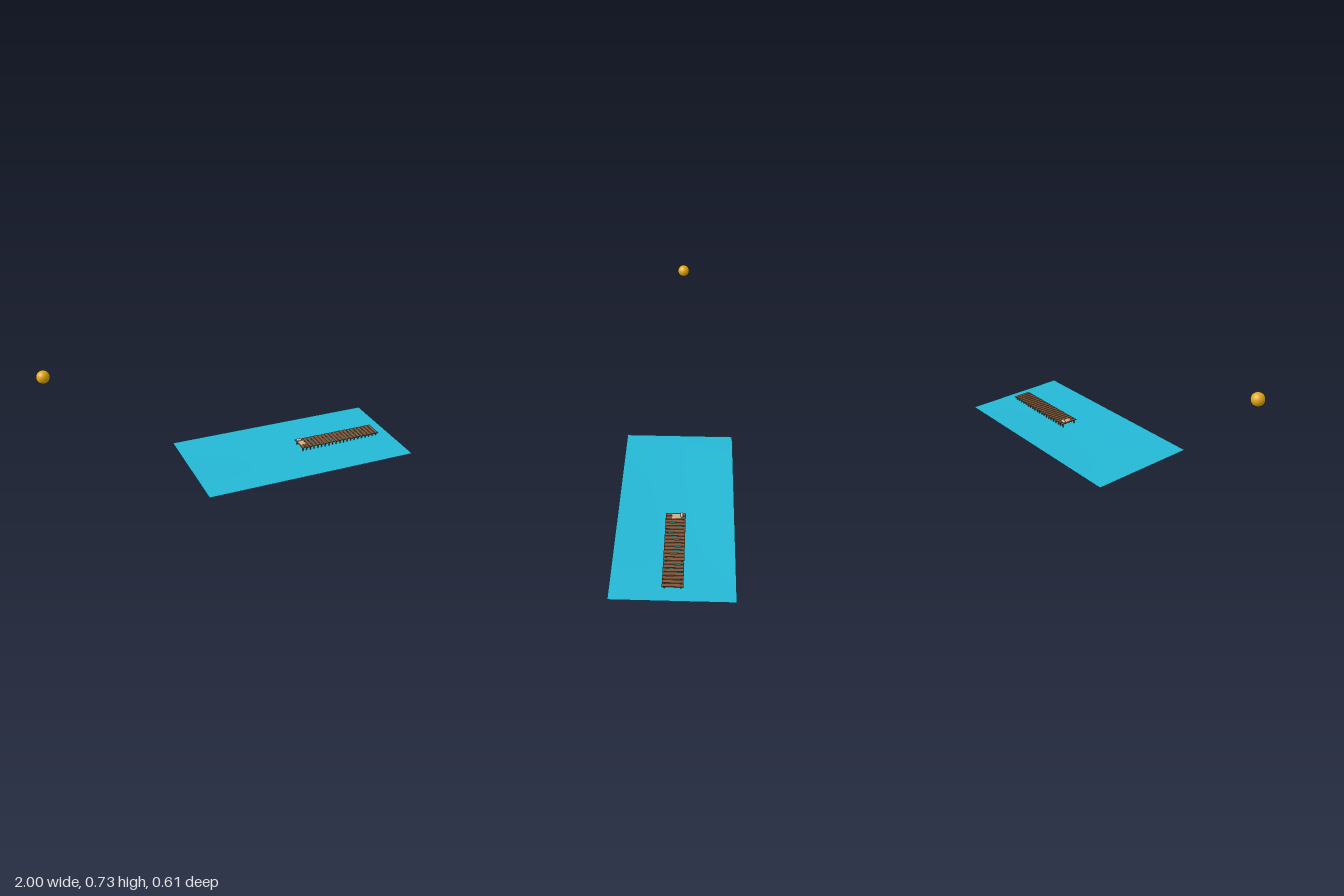
import * as THREE from 'three';

const mat = (color, extra = {}) => new THREE.MeshStandardMaterial({ color, ...extra });

function add(parent, name, geometry, material, x = 0, y = 0, z = 0) {
  const mesh = new THREE.Mesh(geometry, material);
  mesh.name = name;
  mesh.position.set(x, y, z);
  parent.add(mesh);
  return mesh;
}

export function createModel() {
  const model = new THREE.Group();
  model.name = 'lakeDock';

  // Water sheet, very slightly dished towards its centre
  const halfX = 0.614, halfZ = 0.307;
  const water = new THREE.PlaneGeometry(halfX * 2, halfZ * 2, 32, 24).rotateX(-Math.PI / 2);
  const p = water.attributes.position;
  for (let i = 0; i < p.count; i++) {
    const u = Math.cos((p.getX(i) / halfX) * Math.PI / 2);
    const v = Math.cos((p.getZ(i) / halfZ) * Math.PI / 2);
    p.setY(i, 0.0085 * (1 - u * v));
  }
  water.computeVertexNormals();
  add(model, 'water', water, mat(0x24b8d6, { side: THREE.DoubleSide }), 0.386, 0, 0);

  // Sun
  add(model, 'sun', new THREE.SphereGeometry(0.034, 32, 24), mat(0xe0a510), -0.966, 0.698, 0);

  // Dock: crosswise planks, each carried by a pair of posts
  const dock = new THREE.Group();
  dock.name = 'dock';
  model.add(dock);
  const wood = mat(0x80583a), postWood = mat(0x75502f);
  const plank = new THREE.BoxGeometry(0.019, 0.004, 0.104);
  const post = new THREE.CylinderGeometry(0.003, 0.003, 0.022, 8);
  const count = 21, first = 0.442, last = 0.918;
  for (let i = 0; i < count; i++) {
    const x = first + (last - first) * i / (count - 1);
    add(dock, 'plank', plank, wood, x, 0.0255, 0);
    for (const side of [-1, 1]) add(dock, 'post', post, postWood, x, 0.013, side * 0.04);
  }

  // Mat with a rolled cushion at the end of the dock
  add(model, 'mat', new THREE.BoxGeometry(0.034, 0.0015, 0.046), mat(0xd9ad7c), 0.457, 0.0283, -0.003);
  const cushion = new THREE.CapsuleGeometry(0.007, 0.018, 6, 16).rotateZ(Math.PI / 2).scale(1, 1.15, 1);
  add(model, 'cushion', cushion, mat(0xcccccc), 0.451, 0.0352, -0.031);
  add(model, 'bead', new THREE.SphereGeometry(0.0015, 10, 8), mat(0x4a3a2a), 0.457, 0.0325, 0.02);

  return model;
}
